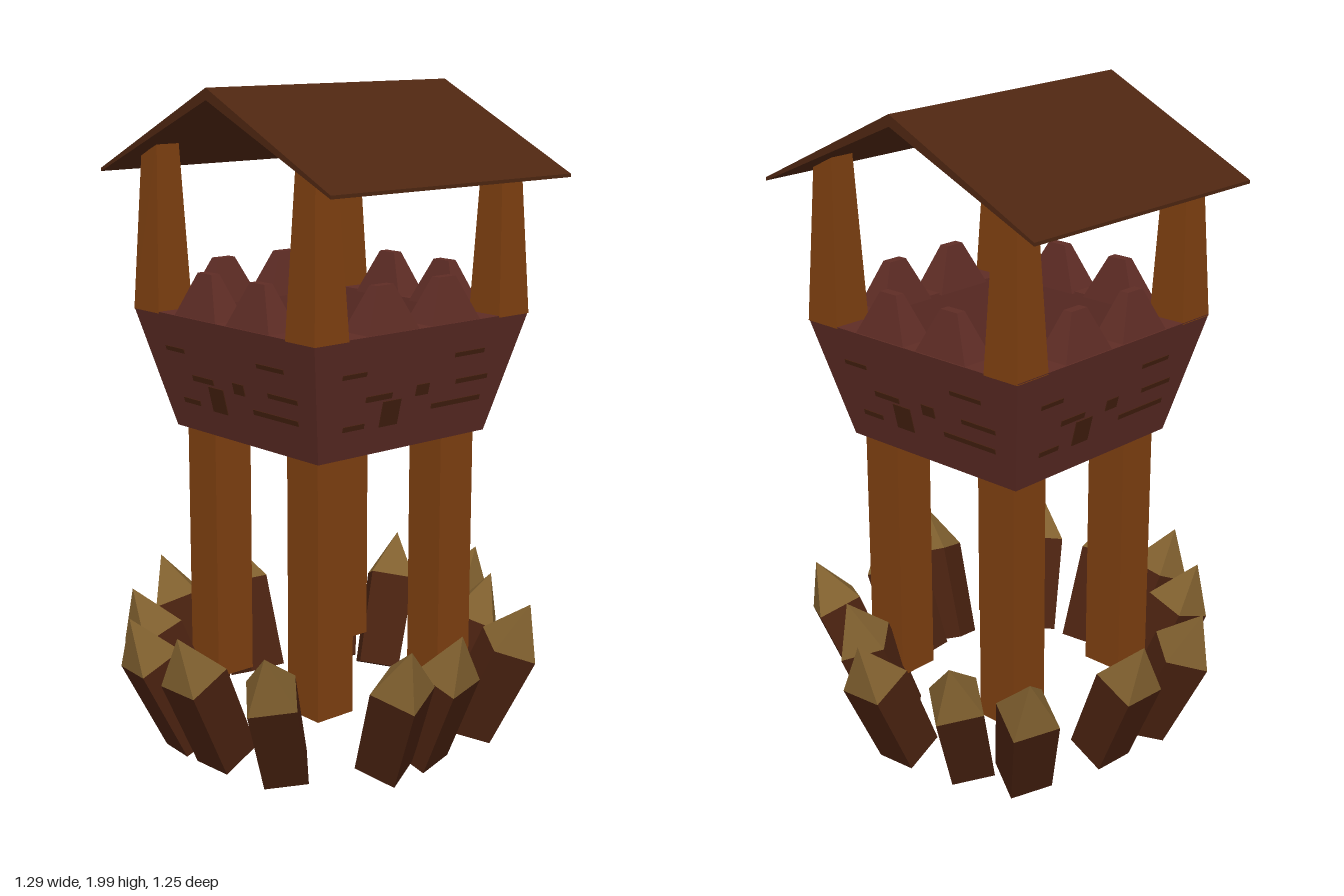
import * as THREE from 'three';

const mat = (name, color) => {
  const m = new THREE.MeshStandardMaterial({ color, flatShading: true });
  m.name = name;
  return m;
};

export function createModel() {
  const group = new THREE.Group();
  const roofWood = mat('dark roof wood', 0x4e2611);
  const postWood = mat('orange post wood', 0x7d3f10);
  const redWood = mat('red plank wood', 0x5e2c25);
  const stakeWood = mat('stake bark', 0x4a2210);
  const tipWood = mat('cut stake wood', 0x80602f);
  const stainWood = mat('plank stain', 0x45200f);

  const add = (name, geo, material, parent = group) => {
    const m = new THREE.Mesh(geo, material);
    m.name = name;
    parent.add(m);
    return m;
  };

  // Box standing on y = 0 whose top is narrower; shear tilts the top along z
  const tapered = (w0, d0, w1, d1, h, shear = 0) => {
    const g = new THREE.BoxGeometry(1, h, 1).translate(0, h / 2, 0);
    const p = g.attributes.position;
    for (let i = 0; i < p.count; i++) {
      const top = p.getY(i) > h / 2;
      const z = p.getZ(i) * (top ? d1 : d0);
      p.setXYZ(i, p.getX(i) * (top ? w1 : w0), p.getY(i) + (top ? shear * z : 0), z);
    }
    g.computeVertexNormals();
    return g;
  };

  // Legs and roof posts, one of each per corner
  for (const sx of [-1, 1]) for (const sz of [-1, 1]) {
    add('leg', tapered(0.135, 0.135, 0.135, 0.135, 0.8), postWood)
      .position.set(0.01 + sx * 0.243, 0.18, -0.003 + sz * 0.237);
    add('roofPost', tapered(0.125, 0.125, 0.08, 0.08, 0.48, -sz * 0.495), postWood)
      .position.set(0.01 + sx * 0.358, 1.325, -0.003 + sz * 0.358);
  }

  // Hollow square lookout basket
  const q = Math.SQRT2;
  const profile = [[0, 0.965], [0.33, 0.965], [0.42, 1.33], [0.32, 1.33], [0.27, 1.02], [0, 1.02]]
    .map(([r, y]) => new THREE.Vector2(r * q, y));
  const basket = new THREE.Group();
  basket.name = 'basket';
  basket.position.set(0.01, 0, -0.004);
  group.add(basket);
  add('basketWalls', new THREE.LatheGeometry(profile, 4).rotateY(Math.PI / 4), redWood, basket);

  // Battlements and stains on each wall: x, y, width, height of stains
  const stains = [
    [-0.085, 1.085, 0.07, 0.08], [-0.14, 1.14, 0.1, 0.018], [0.18, 1.08, 0.2, 0.016],
    [0.03, 1.14, 0.05, 0.035], [0.23, 1.145, 0.13, 0.015], [-0.22, 1.06, 0.08, 0.016],
    [0.2, 1.23, 0.12, 0.014], [-0.25, 1.22, 0.09, 0.014],
  ];
  const slope = 0.09 / 0.365;
  for (let i = 0; i < 4; i++) {
    const side = new THREE.Group();
    side.name = 'basketSide';
    side.rotation.y = i * Math.PI / 2;
    basket.add(side);
    for (const sx of [-1, 1])
      add('battlement', tapered(0.2, 0.11, 0.065, 0.03, 0.135), redWood, side)
        .position.set(sx * 0.122, 1.325, 0.362);
    for (const [x, y, w, h] of stains) {
      const s = add('stain', new THREE.BoxGeometry(w, h, 0.005), stainWood, side);
      s.position.set(x, y, 0.33 + (y - 0.965) * slope);
      s.rotation.x = Math.atan(slope);
    }
  }

  // Gabled roof
  const gable = new THREE.Shape([
    [-0.525, 1.735], [0, 1.966], [0.525, 1.735], [0.525, 1.745], [0, 2], [-0.525, 1.745],
  ].map(([z, y]) => new THREE.Vector2(z, y)));
  const roof = new THREE.ExtrudeGeometry(gable, { depth: 0.925, bevelEnabled: false })
    .rotateY(Math.PI / 2).translate(-0.452, 0, 0.005);
  add('roof', roof, roofWood);

  // Ring of sharpened stakes leaning outward: tip x, tip z, twist
  const stakes = [
    [-0.21, 0.6, 0.75], [-0.01, 0.6, 0.25], [0.34, 0.54, 0.5], [0.47, 0.25, -0.4],
    [0.635, 0.02, 0.08], [0.55, -0.27, 0.45], [0.46, -0.5, 0.3], [0.07, -0.595, 0.05],
    [-0.21, -0.595, 0.6], [-0.48, -0.37, 0.55], [-0.645, -0.15, 0.1], [-0.64, 0.08, -0.05],
    [-0.555, 0.37, 0.3],
  ];
  const shaft = new THREE.CylinderGeometry(0.1, 0.092, 1, 4).rotateY(Math.PI / 4).translate(0, 0.5, 0);
  const point = new THREE.ConeGeometry(0.1, 0.15, 4, 1, true).rotateY(Math.PI / 4).translate(0, 0.075, 0);
  const up = new THREE.Vector3(0, 1, 0);
  for (const [x, z, twist] of stakes) {
    const base = new THREE.Vector3(x * 0.7, 0.045, z * 0.7);
    const dir = new THREE.Vector3(x, 0.46, z).sub(base);
    const len = dir.length() - 0.15;
    const stake = new THREE.Group();
    stake.name = 'stake';
    stake.position.copy(base);
    stake.quaternion.setFromUnitVectors(up, dir.normalize())
      .multiply(new THREE.Quaternion().setFromAxisAngle(up, Math.atan2(x, z) + twist));
    add('stakeShaft', shaft, stakeWood, stake).scale.y = len;
    add('stakePoint', point, tipWood, stake).position.y = len;
    group.add(stake);
  }
  return group;
}
